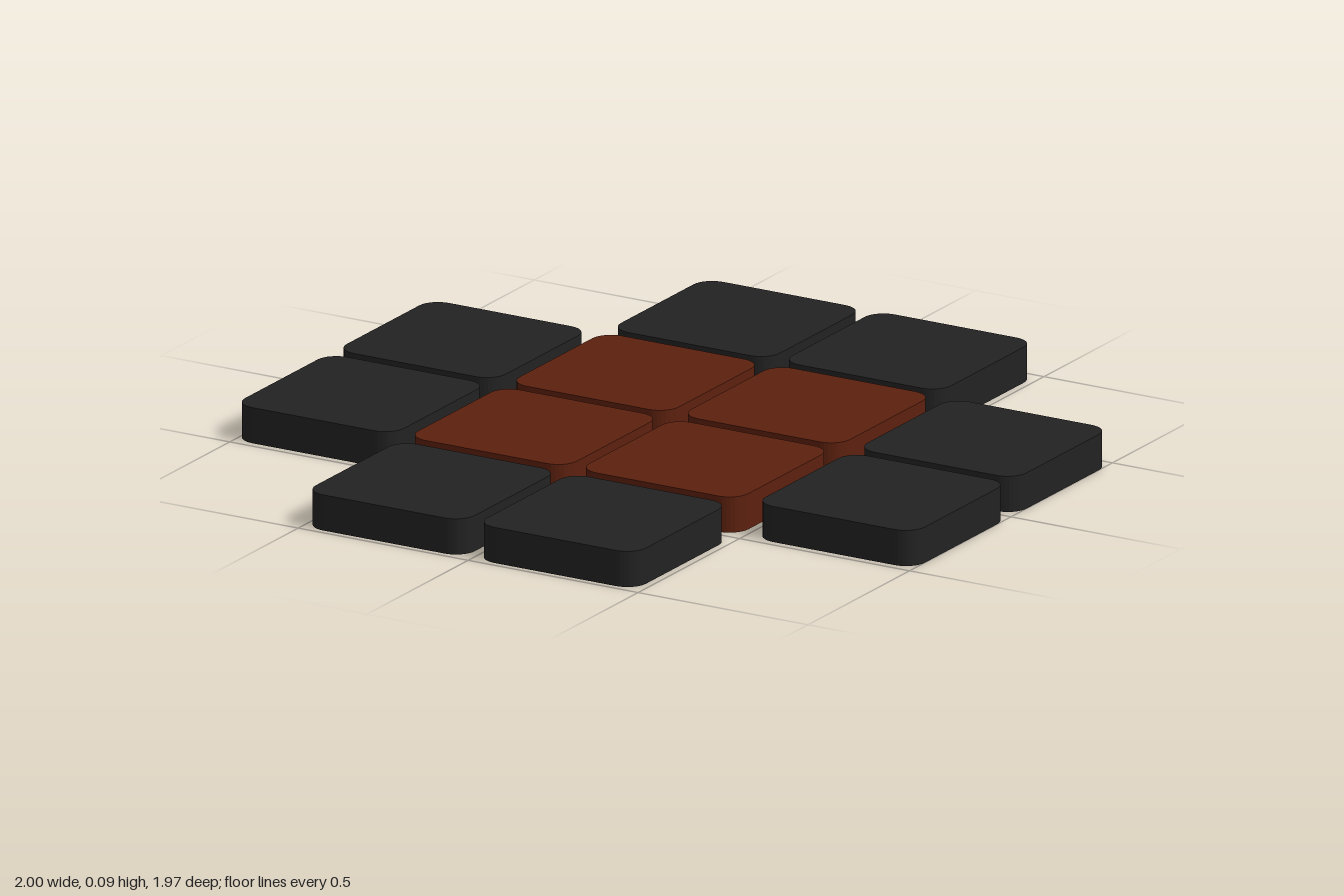
import * as THREE from 'three';

const SIZE = 0.468, HEIGHT = 0.095, RADIUS = 0.055;

// Square tile with rounded corners, lying on y = 0
function tileGeometry() {
  const h = SIZE / 2, c = h - RADIUS;
  const shape = new THREE.Shape();
  shape.absarc(c, c, RADIUS, 0, Math.PI / 2);
  shape.absarc(-c, c, RADIUS, Math.PI / 2, Math.PI);
  shape.absarc(-c, -c, RADIUS, Math.PI, Math.PI * 1.5);
  shape.absarc(c, -c, RADIUS, Math.PI * 1.5, Math.PI * 2);
  shape.closePath();
  const geometry = new THREE.ExtrudeGeometry(shape, { depth: HEIGHT, bevelEnabled: false, curveSegments: 4 });
  return geometry.rotateX(-Math.PI / 2);
}

export function createModel() {
  const model = new THREE.Group();
  model.name = 'tilePad';
  const black = new THREE.MeshStandardMaterial({ color: 0x222222 });
  black.name = 'charcoal';
  const brown = new THREE.MeshStandardMaterial({ color: 0x5c200e });
  brown.name = 'rust brown';

  const geometry = tileGeometry();
  const columns = [-0.766, -0.257, 0.247, 0.766];
  const rows = [-0.754, -0.255, 0.246, 0.75];

  // Four by four grid without its corners: brown centre, black surround
  columns.forEach((x, i) => rows.forEach((z, j) => {
    const edgeX = i === 0 || i === 3, edgeZ = j === 0 || j === 3;
    if (edgeX && edgeZ) return;
    const outer = edgeX || edgeZ;
    const tile = new THREE.Mesh(geometry, outer ? black : brown);
    tile.name = outer ? 'outerTile' : 'centreTile';
    tile.position.set(x, 0, z);
    model.add(tile);
  }));
  return model;
}
